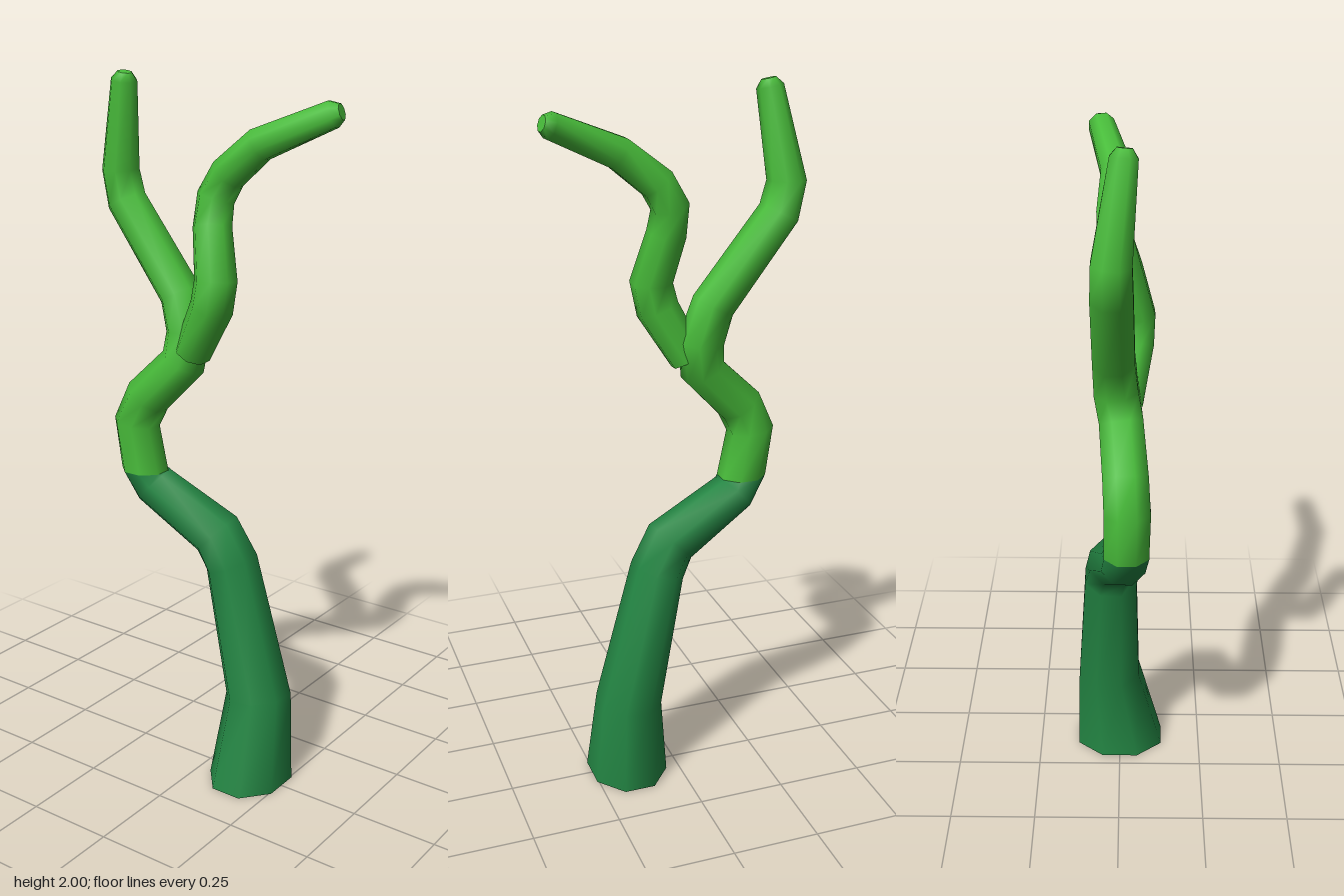
import * as THREE from 'three';

const SIDES = 8;

// Rings of vertices around a path; each node is [x, y, z, radius, depthRadius?, flat?]
function makeRings(nodes) {
  const pts = nodes.map(n => new THREE.Vector3(n[0], n[1], n[2]));
  return nodes.map((n, i) => {
    const t = new THREE.Vector3();
    if (i > 0) t.add(pts[i].clone().sub(pts[i - 1]).normalize());
    if (i < pts.length - 1) t.add(pts[i + 1].clone().sub(pts[i]).normalize());
    if (n[5]) t.set(0, 1, 0);
    t.normalize();
    const side = new THREE.Vector3(1, 0, 0).addScaledVector(t, -t.x).normalize();
    const front = new THREE.Vector3().crossVectors(side, t);
    const ring = [];
    for (let j = 0; j < SIDES; j++) {
      const a = (j + 0.5) / SIDES * Math.PI * 2;
      ring.push(pts[i].clone()
        .addScaledVector(side, Math.cos(a) * n[3])
        .addScaledVector(front, Math.sin(a) * (n[4] || n[3])));
    }
    return ring;
  });
}

// Smooth skin over consecutive rings
function skin(rings) {
  const index = [];
  for (let i = 0; i < rings.length - 1; i++) {
    for (let j = 0; j < SIDES; j++) {
      const k = (j + 1) % SIDES;
      const a = i * SIDES + j, b = i * SIDES + k;
      index.push(a, a + SIDES, b, b, a + SIDES, b + SIDES);
    }
  }
  return finish(rings.flat(), index);
}

// Flat disc closing a branch tip
function cap(ring) {
  const index = [];
  for (let j = 1; j < SIDES - 1; j++) index.push(0, j + 1, j);
  return finish(ring, index);
}

function finish(points, index) {
  const g = new THREE.BufferGeometry().setFromPoints(points);
  g.setIndex(index);
  g.computeVertexNormals();
  return g;
}

export function createModel() {
  const group = new THREE.Group();
  const darkGreen = new THREE.MeshStandardMaterial({ color: 0x238543, side: THREE.DoubleSide });
  darkGreen.name = 'dark green';
  const brightGreen = new THREE.MeshStandardMaterial({ color: 0x48bc3a, side: THREE.DoubleSide });
  brightGreen.name = 'bright green';

  const add = (name, geometry, material) => {
    const mesh = new THREE.Mesh(geometry, material);
    mesh.name = name;
    group.add(mesh);
  };

  // Trunk and the stem growing from it share one path
  const main = makeRings([
    [0, 0, 0.147, 0.141, 0.117, true],
    [0.034, 0.255, 0.148, 0.1, 0.095],
    [0.026, 0.65, 0.056, 0.082, 0.077],
    [0.015, 0.73, 0.012, 0.077, 0.077],
    [-0.012, 0.845, -0.19, 0.066, 0.065],
    [-0.021, 0.89, -0.218, 0.066, 0.07, true],
    [-0.023, 1.03, -0.243, 0.067],
    [-0.018, 1.11, -0.205, 0.066],
    [-0.005, 1.225, -0.09, 0.064],
    [0.008, 1.31, -0.08, 0.064],
    [0.014, 1.41, -0.112, 0.06],
    [0.016, 1.65, -0.298, 0.057],
    [0.016, 1.735, -0.318, 0.054],
    [-0.013, 1.977, -0.276, 0.037],
    [-0.015, 1.998, -0.272, 0.02],
  ]);
  const joint = 5;
  add('trunk', skin(main.slice(0, joint + 1)), darkGreen);
  add('stem', skin(main.slice(joint)), brightGreen);
  add('stemTip', cap(main[main.length - 1]), brightGreen);

  // Side branch arching forward
  const branch = makeRings([
    [-0.015, 1.26, -0.05, 0.052],
    [-0.036, 1.4, 0.03, 0.06],
    [-0.04, 1.475, 0.046, 0.059],
    [-0.01, 1.61, 0.013, 0.054],
    [0.01, 1.685, 0.01, 0.052],
    [0.014, 1.748, 0.047, 0.05],
    [0.008, 1.83, 0.15, 0.046],
    [0.053, 1.911, 0.337, 0.037],
    [0.057, 1.918, 0.359, 0.022],
  ]);
  add('branch', skin(branch), brightGreen);
  add('branchTip', cap(branch[branch.length - 1]), brightGreen);
  return group;
}
